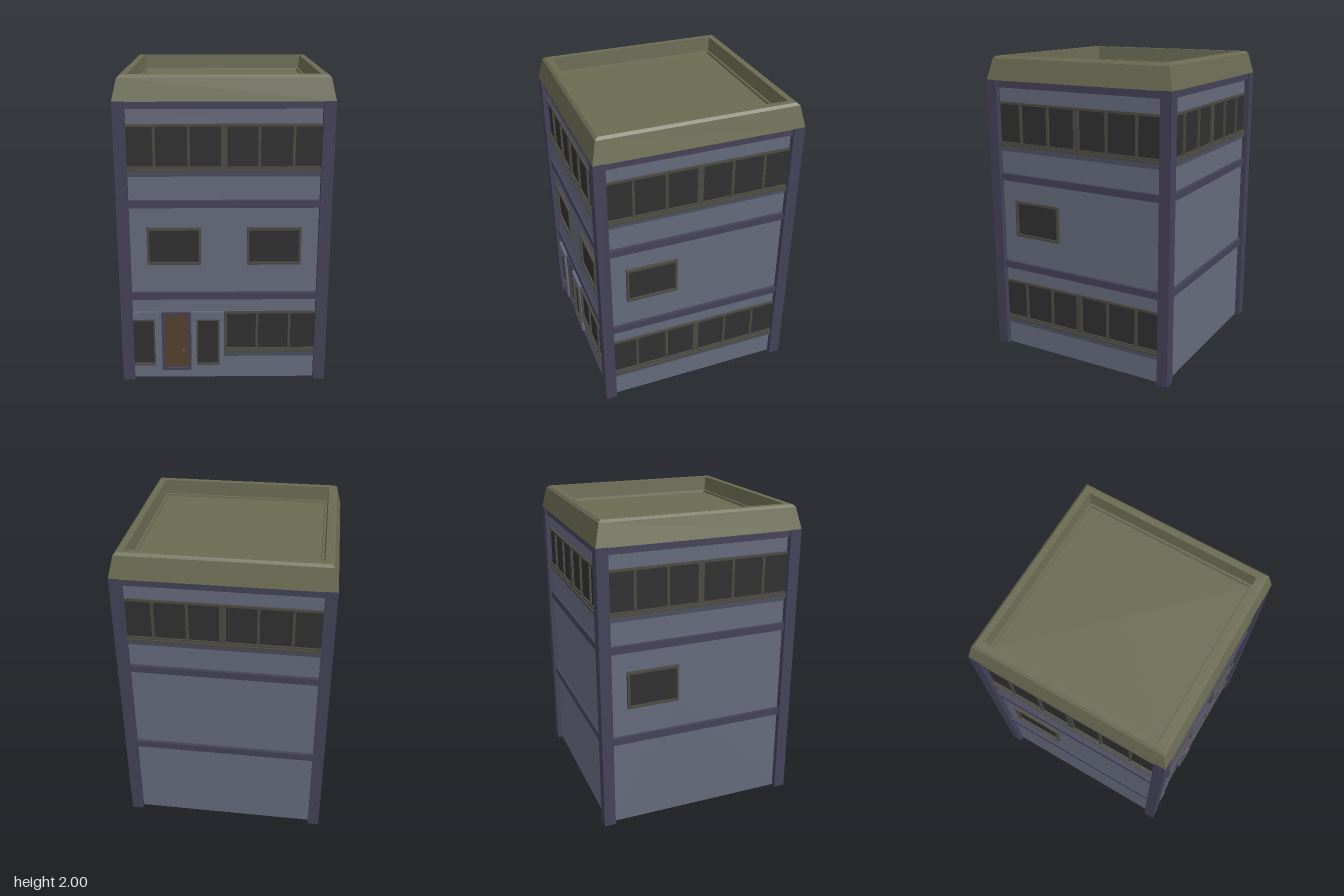
import * as THREE from 'three';

const mat = (color) => new THREE.MeshStandardMaterial({ color, flatShading: true, side: THREE.DoubleSide });
const WALL = mat(0x656a7c), POST = mat(0x444258), ROOF = mat(0x6b6b53),
  FRAME = mat(0x4b4a43), GLASS = mat(0x303030), DOOR = mat(0x54402f);

function add(parent, name, geometry, material) {
  const mesh = new THREE.Mesh(geometry, material);
  mesh.name = name;
  parent.add(mesh);
  return mesh;
}

// box given by its limits on each axis
function box(parent, name, material, x0, x1, y0, y1, z0, z1) {
  const mesh = add(parent, name, new THREE.BoxGeometry(x1 - x0, y1 - y0, z1 - z0), material);
  mesh.position.set((x0 + x1) / 2, (y0 + y1) / 2, (z0 + z1) / 2);
  return mesh;
}

// rectangular panel with rectangular holes, each rectangle as [x0, x1, y0, y1]
function panel(parent, name, material, rect, holes, z0, z1) {
  const trace = (path, [x0, x1, y0, y1]) =>
    path.moveTo(x0, y0).lineTo(x1, y0).lineTo(x1, y1).lineTo(x0, y1).closePath();
  const shape = new THREE.Shape();
  trace(shape, rect);
  for (const h of holes) {
    const hole = new THREE.Path();
    trace(hole, h);
    shape.holes.push(hole);
  }
  const geometry = new THREE.ExtrudeGeometry(shape, { depth: z1 - z0, bevelEnabled: false });
  geometry.translate(0, 0, z0);
  return add(parent, name, geometry, material);
}

const inset = ([x0, x1, y0, y1], d) => [x0 + d, x1 - d, y0 + d, y1 - d];

// small framed window
function smallWindow(parent, rect) {
  const g = new THREE.Group();
  g.name = 'smallWindow';
  panel(g, 'windowFrame', FRAME, rect, [inset(rect, 0.015)], 0.605, 0.65);
  box(g, 'windowPane', GLASS, ...inset(rect, 0.012), 0.622, 0.636);
  parent.add(g);
}

// three-pane strip window with a sill and a sloped ledge under it
function stripWindow(parent, x0, y0) {
  const g = new THREE.Group();
  g.name = 'stripWindow';
  const x1 = x0 + 0.64, y1 = y0 + 0.29;
  const panes = [[0.02, 0.207], [0.223, 0.417], [0.433, 0.62]].map(([a, b]) =>
    x0 < 0 ? [x1 - b, x1 - a, y0 + 0.027, y1 - 0.015] : [x0 + a, x0 + b, y0 + 0.027, y1 - 0.015]);
  panel(g, 'stripFrame', FRAME, [x0, x1, y0, y1], panes, 0.608, 0.642);
  box(g, 'stripGlass', GLASS, x0 + 0.01, x1 - 0.01, y0 + 0.01, y1 - 0.01, 0.62, 0.63);
  box(g, 'windowSill', FRAME, x0, x1, y0, y0 + 0.014, 0.605, 0.652);
  const ledge = new THREE.Shape([[-0.62, -0.037], [-0.63, -0.037], [-0.65, 0], [-0.62, 0]]
    .map(([x, y]) => new THREE.Vector2(x, y)));
  const geometry = new THREE.ExtrudeGeometry(ledge, { depth: 0.64, bevelEnabled: false });
  geometry.rotateY(Math.PI / 2).translate(x0, y0, 0);
  add(g, 'sillLedge', geometry, WALL);
  parent.add(g);
}

// door with glazed wall blocks on both sides
function entrance(parent) {
  const g = new THREE.Group();
  g.name = 'entrance';
  for (const [x0, x1] of [[-0.63, -0.42], [-0.205, 0]]) {
    const opening = [x0 + 0.025, x1 - 0.03, 0.1, 0.43];
    const block = [x0, x1, 0.05, 0.48];
    panel(g, 'entranceBlock', WALL, block, [opening], 0.595, 0.65);
    panel(g, 'entranceWindowFrame', FRAME, opening, [inset(opening, 0.009)], 0.605, 0.656);
    box(g, 'entrancePane', GLASS, ...inset(opening, 0.007), 0.622, 0.636);
  }
  const surround = [-0.42, -0.205, 0.05, 0.48], frame = [-0.408, -0.215, 0.055, 0.472];
  const leaf = [-0.388, -0.233, 0.07, 0.455];
  panel(g, 'doorSurround', WALL, surround, [frame], 0.612, 0.628);
  panel(g, 'doorFrame', POST, frame, [leaf], 0.605, 0.638);
  box(g, 'door', DOOR, ...leaf, 0.612, 0.622);
  const knob = add(g, 'doorKnob', new THREE.SphereGeometry(0.012, 10, 8), FRAME);
  knob.position.set(-0.268, 0.195, 0.632);
  parent.add(g);
}

// one facade, built facing +z
function facade(name, { windows = [], strips = [], door = false }) {
  const g = new THREE.Group();
  g.name = name;
  const allStrips = [[-0.64, 1.42], [0, 1.42], ...strips];
  const holes = [[-0.625, 0.625, 1.42, 1.71], ...windows];
  if (door) holes.push([-0.625, 0.625, 0.19, 0.48], [-0.625, 0, 0.05, 0.19]);
  else if (strips.length) holes.push([-0.625, 0.625, 0.19, 0.48]);
  // the entrance and the strip beside it share one stepped opening
  if (door) {
    panel(g, 'wall', WALL, [-0.63, 0.63, 0.48, 1.85], holes.slice(0, -2), 0.618, 0.63);
    box(g, 'wallUnderWindow', WALL, 0, 0.63, 0, 0.19, 0.618, 0.63);
    box(g, 'wallUnderEntrance', WALL, -0.63, 0, 0, 0.05, 0.618, 0.63);
  } else panel(g, 'wall', WALL, [-0.63, 0.63, 0, 1.85], holes, 0.618, 0.63);
  for (const y of [0.572, 1.188, 1.803]) box(g, 'floorBeam', POST, -0.6, 0.6, y, y + 0.047, 0.6, 0.652);
  for (const [x, y] of allStrips) stripWindow(g, x, y);
  for (const rect of windows) smallWindow(g, rect);
  if (door) entrance(g);
  return g;
}

export function createModel() {
  const model = new THREE.Group();
  model.name = 'building';
  const leftOpening = [-0.485, -0.145, 0.81, 1.055], rightOpening = [0.145, 0.485, 0.81, 1.055];
  const sides = [
    ['frontFacade', 0, { windows: [leftOpening, rightOpening], strips: [[0, 0.19]], door: true }],
    ['leftFacade', 1, { windows: [leftOpening], strips: [[-0.64, 0.19], [0, 0.19]] }],
    ['backFacade', 2, {}],
    ['rightFacade', 3, { windows: [leftOpening] }],
  ];
  for (const [name, turns, options] of sides) {
    const side = facade(name, options);
    side.rotation.y = turns * Math.PI / 2;
    model.add(side);
  }

  // corner posts
  for (const x of [-0.628, 0.628]) for (const z of [-0.628, 0.628])
    box(model, 'cornerPost', POST, x - 0.037, x + 0.037, 0, 1.85, z - 0.037, z + 0.037);

  // square roof with a sloped parapet and a sunken deck
  const profile = [[0, 1.848], [0.665, 1.848], [0.633, 1.985], [0.617, 2], [0.577, 2],
    [0.572, 1.905], [0.558, 1.905], [0.555, 1.89], [0, 1.89]]
    .map(([r, y]) => new THREE.Vector2(r * Math.SQRT2, y));
  const roof = new THREE.LatheGeometry(profile, 4).rotateY(Math.PI / 4);
  add(model, 'roof', roof, ROOF);
  return model;
}
